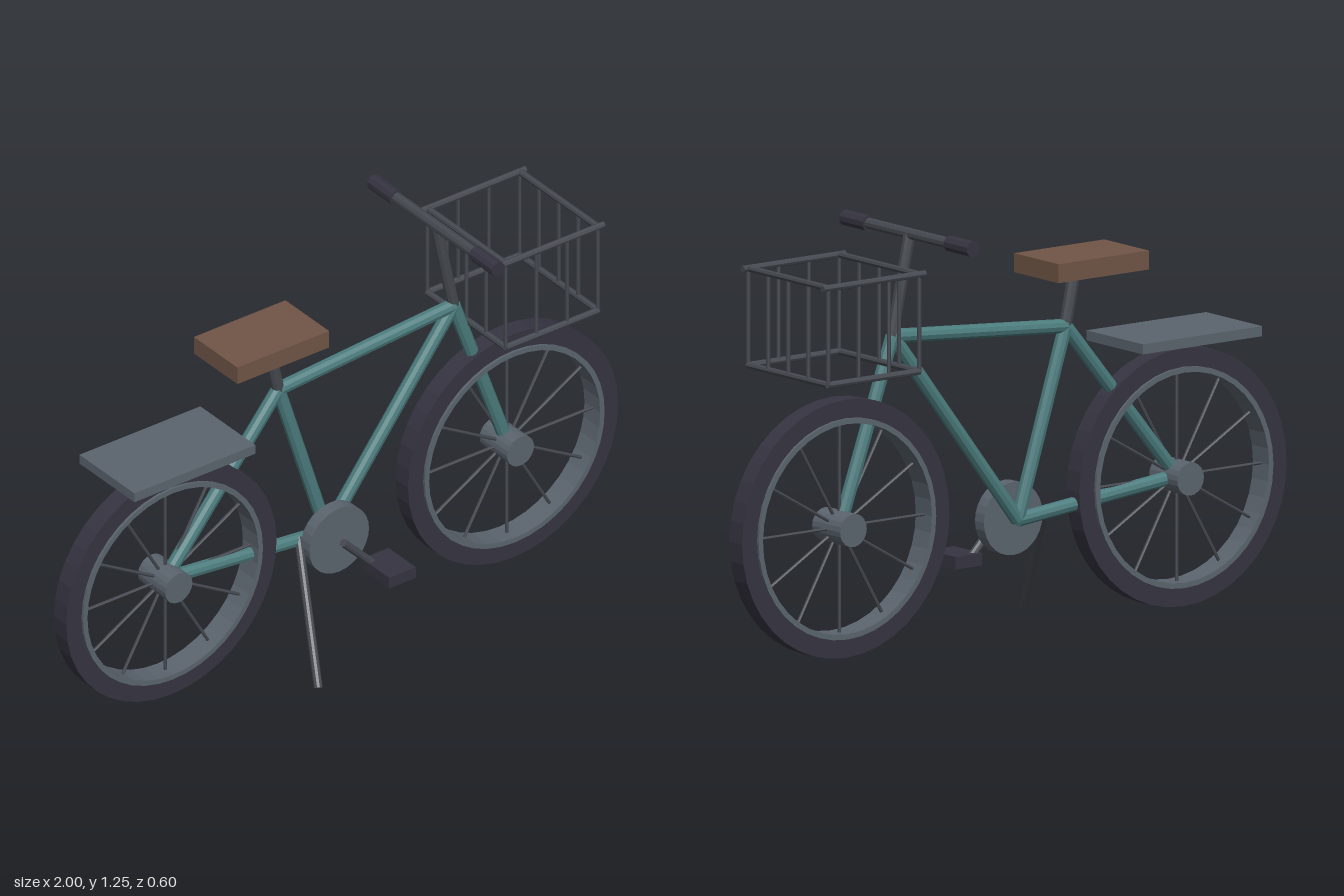
import * as THREE from 'three';

const mat = (name, color) => new THREE.MeshStandardMaterial({ name, color, flatShading: true });

export function createModel() {
  const rubber = mat('dark rubber', 0x363441);
  const steel = mat('dark steel', 0x454950);
  const grey = mat('grey metal', 0x5b646e);
  const teal = mat('teal paint', 0x4c7c7e);
  const leather = mat('brown leather', 0x705546);

  const bike = new THREE.Group();
  bike.name = 'bicycle';

  const add = (parent, name, geo, material, pos = [0, 0, 0]) => {
    const m = new THREE.Mesh(geo, material);
    m.name = name;
    m.position.set(...pos);
    parent.add(m);
    return m;
  };
  // Straight round bar between two points
  const bar = (parent, name, a, b, r, material, sides = 10) => {
    const A = new THREE.Vector3(...a), B = new THREE.Vector3(...b);
    const d = B.clone().sub(A);
    const m = add(parent, name, new THREE.CylinderGeometry(r, r, d.length(), sides), material);
    m.position.copy(A).add(B).multiplyScalar(0.5);
    m.quaternion.setFromUnitVectors(new THREE.Vector3(0, 1, 0), d.normalize());
    return m;
  };
  const box = (parent, name, size, pos, material) =>
    add(parent, name, new THREE.BoxGeometry(...size), material, pos);
  // Rectangular-section ring around the z axis
  const ring = (ri, ro, h) => new THREE.LatheGeometry(
    [[ri, -h], [ro, -h], [ro, h], [ri, h], [ri, -h]].map(p => new THREE.Vector2(...p)), 40
  ).rotateX(Math.PI / 2);

  // Wheels
  const axleY = 0.393, wheelX = 0.619;
  for (const [name, x] of [['rearWheel', -wheelX], ['frontWheel', wheelX]]) {
    const wheel = new THREE.Group();
    wheel.name = name;
    wheel.position.set(x, axleY, 0);
    add(wheel, 'tyre', ring(0.322, 0.381, 0.03), rubber);
    add(wheel, 'rim', ring(0.31, 0.326, 0.038), grey);
    bar(wheel, 'hub', [0, 0, -0.066], [0, 0, 0.066], 0.049, grey, 20);
    for (let i = 0; i < 12; i++) {
      const a = i * Math.PI / 6, c = Math.cos(a), s = Math.sin(a);
      bar(wheel, 'spoke', [c * 0.03, s * 0.03, 0], [c * 0.315, s * 0.315, 0], 0.005, steel, 6);
    }
    bike.add(wheel);
  }

  // Frame and fork
  const rear = [-wheelX, axleY, 0], front = [wheelX, axleY, 0];
  const crankAxle = [-0.035, 0.335, 0], seatTop = [-0.21, 0.885, 0], head = [0.425, 0.933, 0];
  const tubes = [
    ['chainStay', rear, crankAxle], ['seatStay', rear, seatTop], ['seatTube', crankAxle, seatTop],
    ['topTube', seatTop, head], ['downTube', crankAxle, head], ['fork', head, front],
  ];
  for (const [name, a, b] of tubes) bar(bike, name, a, b, 0.021, teal);

  // Saddle and luggage rack
  bar(bike, 'seatPost', seatTop, [-0.245, 1.05, 0], 0.019, steel);
  box(bike, 'saddle', [0.332, 0.056, 0.21], [-0.27, 1.068, 0], leather);
  box(bike, 'rearRack', [0.438, 0.03, 0.264], [-0.611, 0.814, 0], grey);

  // Handlebar
  const barX = 0.362, barY = 1.228;
  bar(bike, 'stem', head, [barX, barY, 0], 0.018, steel);
  bar(bike, 'handlebar', [barX, barY, -0.29], [barX, barY, 0.29], 0.017, steel);
  for (const s of [-1, 1])
    bar(bike, 'grip', [barX, barY, s * 0.19], [barX, barY, s * 0.3], 0.024, rubber);

  // Chainring, crank and pedal
  bar(bike, 'chainring', [-0.035, 0.335, 0.02], [-0.035, 0.335, 0.062], 0.108, grey, 28);
  bar(bike, 'crank', [-0.035, 0.335, 0.082], [0.072, 0.225, 0.082], 0.013, steel);
  box(bike, 'pedal', [0.097, 0.037, 0.131], [0.098, 0.219, 0.124], rubber);

  // Kickstand
  bar(bike, 'kickstand', [-0.14, 0.355, 0.005], [-0.255, 0.008, 0.253], 0.013, steel);

  // Wire basket
  const basket = new THREE.Group();
  basket.name = 'basket';
  bike.add(basket);
  const x0 = 0.473, x1 = 0.807, z1 = 0.188;
  for (const [y, over] of [[0.864, 0], [1.15, 0.021]]) {
    for (const s of [-1, 1])
      bar(basket, 'sideRail', [x0 - over, y, s * z1], [x1 + over, y, s * z1], 0.01, steel, 8);
    for (const x of [x0, x1])
      bar(basket, 'crossRail', [x, y, -z1], [x, y, z1], 0.01, steel, 8);
  }
  const wire = (x, z) => bar(basket, 'wire', [x, 0.864, z], [x, 1.15, z], 0.006, steel, 6);
  for (let i = 0; i < 4; i++)
    for (const s of [-1, 1]) wire(x0 + (x1 - x0) * i / 3, s * z1);
  for (const x of [x0, x1])
    for (const k of [-0.5, 0, 0.5]) wire(x, k * z1);

  return bike;
}
